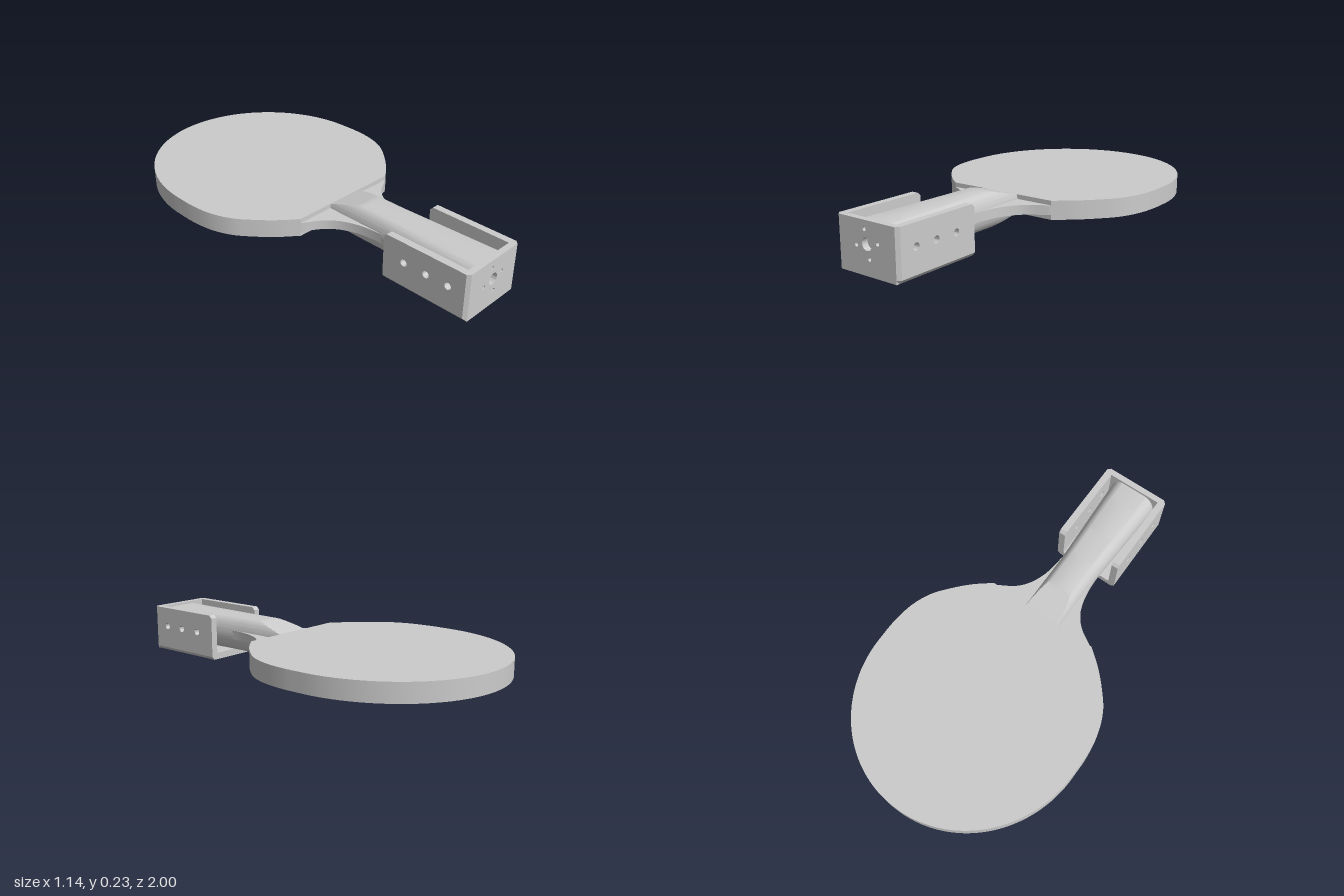
import * as THREE from 'three';
import { toCreasedNormals } from 'three/addons/utils/BufferGeometryUtils.js';

const MID = 0.135; // height of the paddle's centre plane
const material = new THREE.MeshStandardMaterial({ color: 0xcccccc });

function part(name, geometry, crease = 0.5) {
  const mesh = new THREE.Mesh(toCreasedNormals(geometry, crease), material);
  mesh.name = name;
  return mesh;
}

// Move every vertex of a geometry by a rule
function reshape(geometry, rule) {
  const p = geometry.attributes.position;
  const v = new THREE.Vector3();
  for (let i = 0; i < p.count; i++) {
    rule(v.fromBufferAttribute(p, i));
    p.setXYZ(i, v.x, v.y, v.z);
  }
  return geometry;
}

const polygon = (pts) => new THREE.Shape(pts.map(([x, y]) => new THREE.Vector2(x, y)));

function addHole(shape, x, y, r) {
  shape.holes.push(new THREE.Path().absarc(x, y, r, 0, Math.PI * 2, true));
}

const extrude = (shape, depth, steps = 1) =>
  new THREE.ExtrudeGeometry(shape, { depth, steps, bevelEnabled: false, curveSegments: 24 });

// Plan shape (x, -z) raised from y0 to y1
const slab = (shape, y0, y1, steps) =>
  extrude(shape, y1 - y0, steps).rotateX(-Math.PI / 2).translate(0, y0, 0);

// Closed plan from a right-hand outline of [x, z] points, mirrored
function mirroredPlan(half) {
  const right = half.map(([x, z]) => [x, -z]);
  return polygon([...right, ...right.map(([x, y]) => [-x, y]).reverse()]);
}

const spline = (pts, n) =>
  new THREE.CatmullRomCurve3(pts.map(([x, z]) => new THREE.Vector3(x, 0, z)), false, 'centripetal')
    .getPoints(n).map((p) => [p.x, p.z]);

function makeHead() {
  const outline = [];
  for (let i = 1; i <= 36; i++) {
    const a = (i / 36) * Math.PI / 2;
    outline.push([0.567 * Math.sin(a), -0.4 - 0.6 * Math.cos(a)]);
  }
  outline.push(...spline([[0.567, -0.4], [0.567, -0.3], [0.55, -0.18], [0.51, -0.08],
    [0.45, 0], [0.375, 0.08], [0.29, 0.15]], 24).slice(1));
  return part('head', slab(mirroredPlan(outline), 0.09, 0.18));
}

function makeNeck() {
  const flare = spline([[0.29, 0.15], [0.195, 0.21], [0.15, 0.265], [0.12, 0.335],
    [0.105, 0.41], [0.1, 0.48]], 24);
  return part('neck', slab(mirroredPlan([[0.31, 0.13], ...flare]), 0.112, 0.158));
}

// Flat-topped rounded grip, flared at the butt and cut to a wedge at the head
function makeHandle() {
  const section = [];
  for (let i = 0; i < 72; i++) {
    const a = (i / 72) * Math.PI * 2;
    const c = Math.cos(a);
    section.push([0.5 * c + 0.5 * Math.sign(Math.abs(c) < 1e-6 ? 0 : c), 0.087 * Math.sin(a)]);
  }
  const z0 = 0.15;
  const geometry = extrude(polygon(section), 0.82, 41).translate(0, 0, z0);
  reshape(geometry, (v) => {
    const halfWidth = 0.1 + 0.025 * Math.max(0, (v.z - 0.45) / 0.52);
    const limit = 0.045 + 0.042 * Math.min(1, (v.z - z0) / 0.16);
    v.x *= halfWidth;
    v.y = MID + THREE.MathUtils.clamp(v.y, -limit, limit);
  });
  return part('handle', geometry);
}

function makeBracket() {
  const bracket = new THREE.Group();
  bracket.name = 'bracket';
  const W = 0.175, TOP = 0.235, BACK = 0.55, FLOOR = 0.034, C = 0.015;

  // Floor with a round opening and chamfered lower side edges
  const plan = mirroredPlan([[W, BACK], [W, 1 - C], [W - C, 1]].reverse());
  addHole(plan, 0, -0.865, 0.1);
  const floor = reshape(slab(plan, 0, FLOOR, 2), (v) => {
    if (v.y < 0.001) v.x = THREE.MathUtils.clamp(v.x, C - W, W - C);
  });
  bracket.add(part('bracketFloor', floor));

  // End plate with a centre hole, four screw holes and chamfered sides
  const plate = polygon([[-W, FLOOR], [W, FLOOR], [W, TOP], [-W, TOP]]);
  addHole(plate, 0, MID, 0.028);
  for (let i = 0; i < 4; i++) {
    const a = 0.19 + i * Math.PI / 2;
    addHole(plate, 0.063 * Math.cos(a), MID + 0.063 * Math.sin(a), 0.009);
  }
  const end = reshape(extrude(plate, 0.03, 2).translate(0, 0, 0.97), (v) => {
    if (v.z > 0.999) v.x = THREE.MathUtils.clamp(v.x, C - W, W - C);
  });
  bracket.add(part('bracketEndPlate', end));

  // Side walls with three holes each
  const side = polygon([[-0.97, FLOOR], [-BACK, FLOOR], [-BACK, TOP - C], [-BACK - C, TOP], [-0.97, TOP]]);
  for (const z of [0.665, 0.785, 0.9]) addHole(side, -z, MID, 0.017);
  for (const x of [-W, W - 0.035]) {
    const wall = extrude(side, 0.035).rotateY(Math.PI / 2).translate(x, 0, 0);
    bracket.add(part(x > 0 ? 'bracketLeftWall' : 'bracketRightWall', wall));
  }
  return bracket;
}

export function createModel() {
  const model = new THREE.Group();
  model.name = 'paddleInBracket';
  model.add(makeHead(), makeNeck(), makeHandle(), makeBracket());
  return model;
}
